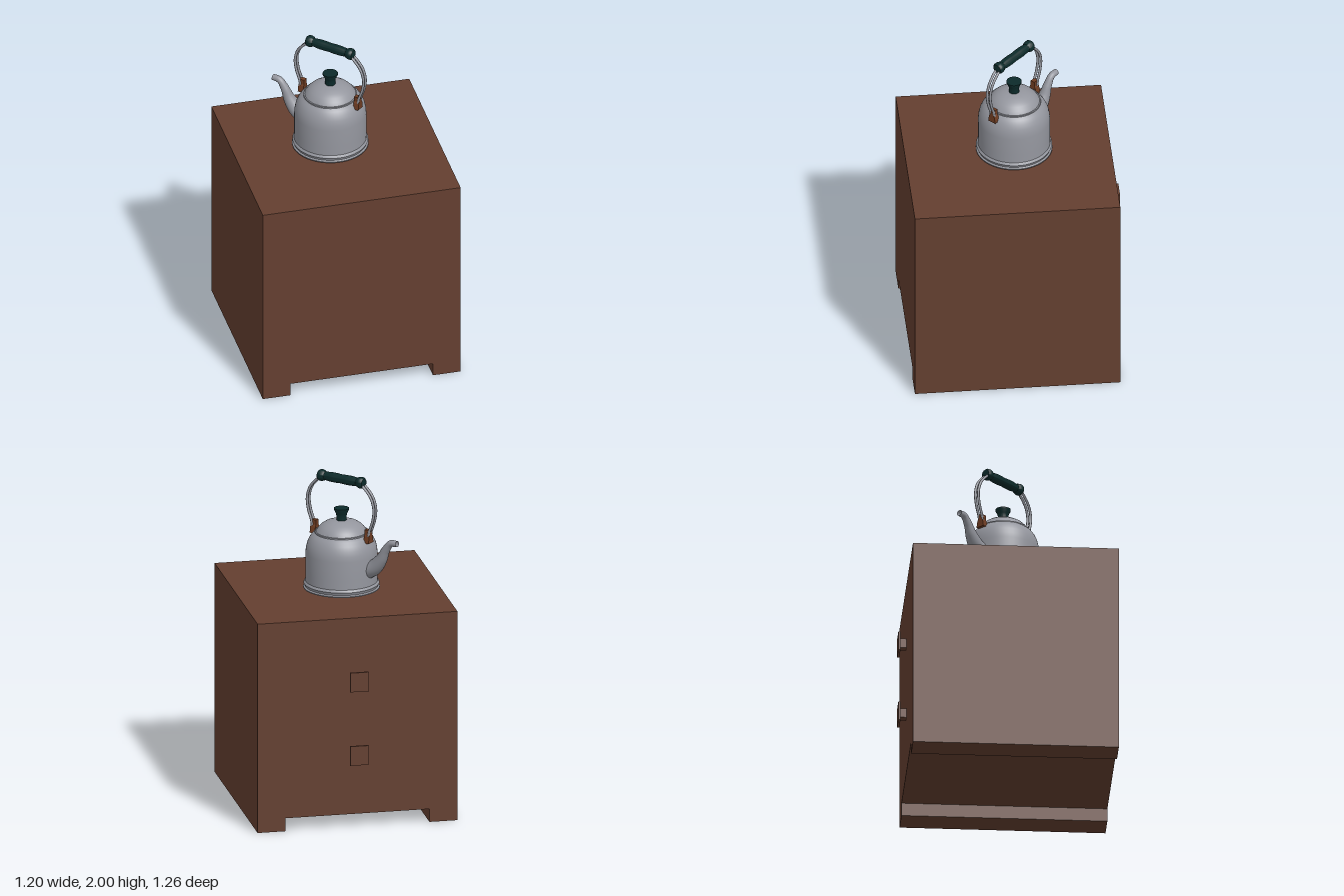
import * as THREE from 'three';
import { toCreasedNormals } from 'three/addons/utils/BufferGeometryUtils.js';

const material = (name, color, side = THREE.FrontSide) => {
  const m = new THREE.MeshStandardMaterial({ color, side });
  m.name = name;
  return m;
};

function add(parent, name, geometry, mat, x = 0, y = 0, z = 0) {
  const mesh = new THREE.Mesh(geometry, mat);
  mesh.name = name;
  mesh.position.set(x, y, z);
  parent.add(mesh);
  return mesh;
}

// Smooth turned part with sharp rims; profile runs bottom to top as [radius, height]
const turned = (profile, segments = 56) =>
  toCreasedNormals(new THREE.LatheGeometry(profile.map(p => new THREE.Vector2(...p)), segments), 0.7);

// Tube whose radius follows a list of values along the curve
function taperedTube(points, radii, rings = 30, sides = 20) {
  const curve = new THREE.CatmullRomCurve3(points.map(p => new THREE.Vector3(...p)));
  const geo = new THREE.TubeGeometry(curve, rings, 1, sides);
  const pos = geo.attributes.position;
  const v = new THREE.Vector3();
  for (let i = 0; i <= rings; i++) {
    const centre = curve.getPointAt(i / rings);
    const f = (i / rings) * (radii.length - 1);
    const k = Math.min(Math.floor(f), radii.length - 2);
    const r = THREE.MathUtils.lerp(radii[k], radii[k + 1], f - k);
    for (let j = 0; j <= sides; j++) {
      const n = i * (sides + 1) + j;
      v.fromBufferAttribute(pos, n).sub(centre).multiplyScalar(r).add(centre);
      pos.setXYZ(n, v.x, v.y, v.z);
    }
  }
  return geo;
}

export function createModel() {
  const wood = material('wood', 0x643f30);
  const steel = material('steel', 0x94969e, THREE.DoubleSide);
  const grip = material('dark green', 0x0c2a2a);
  const copper = material('copper', 0x6e3c22);
  const model = new THREE.Group();
  model.name = 'cabinetWithKettle';

  // Cabinet: solid block with a runner along each side
  const cabinet = new THREE.Group();
  cabinet.name = 'cabinet';
  model.add(cabinet);
  const outline = new THREE.Shape([
    [-0.6, 0], [-0.432, 0], [-0.432, 0.08], [0.432, 0.08],
    [0.432, 0], [0.6, 0], [0.6, 1.287], [-0.6, 1.287],
  ].map(p => new THREE.Vector2(...p)));
  add(cabinet, 'cabinetBody',
    new THREE.ExtrudeGeometry(outline, { depth: 1.212, bevelEnabled: false }), wood, 0, 0, -0.582);

  // Square drawer pulls
  for (const y of [0.905, 0.452]) {
    add(cabinet, 'pullStem', new THREE.BoxGeometry(0.045, 0.056, 0.045), wood, -0.002, y, -0.6);
    add(cabinet, 'pullPlate', new THREE.BoxGeometry(0.112, 0.118, 0.013), wood, -0.002, y, -0.626);
  }

  // Kettle, its spout pointing along local +x
  const kettle = new THREE.Group();
  kettle.name = 'kettle';
  kettle.position.set(-0.025, 0, -0.014);
  kettle.rotation.y = Math.PI * 0.75;
  model.add(kettle);

  add(kettle, 'kettleBody', turned([
    [0, 1.302], [0.225, 1.302], [0.225, 1.308], [0.216, 1.314], [0.218, 1.322], [0.223, 1.331],
    [0.22, 1.338], [0.213, 1.345], [0.212, 1.4], [0.212, 1.515], [0.209, 1.545], [0.202, 1.575],
    [0.19, 1.602], [0.175, 1.624], [0.158, 1.638],
  ]), steel);
  add(kettle, 'lid', turned([
    [0.15, 1.632], [0.158, 1.638], [0.157, 1.645], [0.15, 1.646], [0.138, 1.665], [0.12, 1.683],
    [0.096, 1.698], [0.066, 1.709], [0.035, 1.714], [0, 1.715],
  ]), steel);
  add(kettle, 'lidKnob', turned([
    [0, 1.71], [0.031, 1.71], [0.03, 1.738], [0.033, 1.755], [0.045, 1.778], [0.045, 1.786], [0, 1.786],
  ], 32), grip);

  // Swan-neck spout, wide where it meets the body
  add(kettle, 'spout', taperedTube(
    [[0.17, 1.43, 0], [0.235, 1.465, 0], [0.28, 1.52, 0], [0.31, 1.58, 0], [0.345, 1.625, 0], [0.39, 1.63, 0]],
    [0.055, 0.049, 0.039, 0.028, 0.021, 0.018]), steel);

  // Turned grip with ball ends
  const half = [
    [0.027, 0], [0.029, 0.035], [0.029, 0.07], [0.026, 0.1], [0.025, 0.112], [0.031, 0.12],
    [0.035, 0.134], [0.034, 0.148], [0.027, 0.157], [0, 0.16],
  ];
  const gripProfile = [...half.slice(1).reverse().map(([r, h]) => [r, -h]), ...half];
  const handle = add(kettle, 'handleGrip', turned(gripProfile, 28), grip, 0, 1.965, 0);
  handle.rotation.z = Math.PI / 2;

  // Paired wires and their brackets on both sides
  const bracketShape = new THREE.Shape([
    [-0.027, 1.605], [0.027, 1.605], [0.02, 1.645], [0.014, 1.655], [0.014, 1.685],
    [-0.014, 1.685], [-0.014, 1.655], [-0.02, 1.645],
  ].map(p => new THREE.Vector2(...p)));
  const bracketGeo = new THREE.ExtrudeGeometry(bracketShape, { depth: 0.036, bevelEnabled: false });
  for (const s of [-1, 1]) {
    for (const z of [-0.012, 0.012]) {
      const wire = new THREE.CatmullRomCurve3([
        [0.145, 1.955], [0.175, 1.93], [0.215, 1.88], [0.233, 1.815], [0.225, 1.745], [0.203, 1.68], [0.195, 1.64],
      ].map(([u, y]) => new THREE.Vector3(s * u, y, z)));
      add(kettle, 'handleWire', new THREE.TubeGeometry(wire, 32, 0.008, 8), steel);
    }
    const bracket = add(kettle, 'handleBracket', bracketGeo, copper, s * 0.17, 0, 0);
    bracket.rotation.y = s * Math.PI / 2;
  }
  return model;
}
